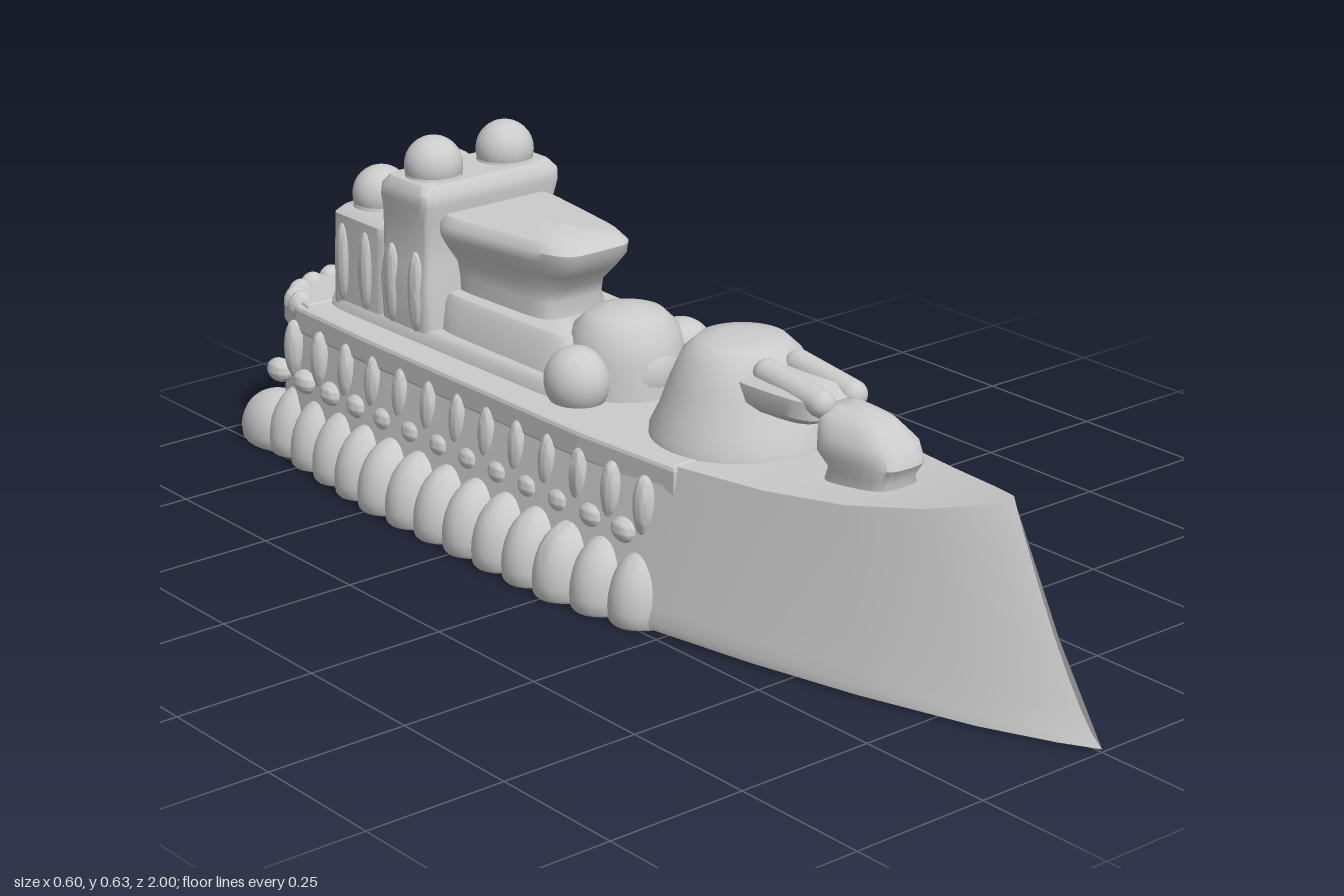
import * as THREE from 'three';
import { toCreasedNormals, mergeVertices } from 'three/addons/utils/BufferGeometryUtils.js';

const material = new THREE.MeshStandardMaterial({ color: 0xcccccc });

// Skin a list of closed cross-sections and close both ends with fans.
function loft(rings, crease = 0.6) {
  const n = rings[0].length, pos = rings.flat(2), idx = [];
  for (let i = 0; i < rings.length - 1; i++)
    for (let j = 0; j < n; j++) {
      const k = (j + 1) % n, a = i * n + j, b = i * n + k, c = b + n, d = a + n;
      idx.push(a, b, c, a, c, d);
    }
  [rings[0], rings[rings.length - 1]].forEach((ring, end) => {
    const center = pos.length / 3, base = end * (rings.length - 1) * n;
    for (let k = 0; k < 3; k++) pos.push(ring.reduce((s, p) => s + p[k], 0) / n);
    for (let j = 0; j < n; j++) {
      const a = base + j, b = base + (j + 1) % n;
      if (end) idx.push(center, a, b); else idx.push(center, b, a);
    }
  });
  const g = new THREE.BufferGeometry();
  g.setAttribute('position', new THREE.Float32BufferAttribute(pos, 3));
  g.setIndex(idx);
  return toCreasedNormals(g, crease);
}

// Rounded tapering block; rows are [y, back half width, front half width, back z, front z].
function block(rows, power = 0.3, n = 40) {
  const soft = v => Math.sign(v) * Math.abs(v) ** power;
  return loft(rows.map(([y, wb, wf, zb, zf]) => Array.from({ length: n }, (_, i) => {
    const a = i / n * Math.PI * 2, c = soft(Math.cos(a)), s = -soft(Math.sin(a));
    const t = (s + 1) / 2;
    return [c * (wb + (wf - wb) * t), y, zb + (zf - zb) * t];
  })), 0.8);
}

// Ellipsoid whose underside is flattened at the given floor.
function blob(x, y, z, rx, ry, rz, floor = 0.005) {
  const g = new THREE.SphereGeometry(1, 24, 16).scale(rx, ry, rz).translate(x, y, z);
  const p = g.attributes.position;
  for (let i = 0; i < p.count; i++) p.setY(i, Math.max(p.getY(i), floor));
  g.deleteAttribute('uv');
  g.deleteAttribute('normal');
  return toCreasedNormals(mergeVertices(g), 0.9);
}

function lathe(points, z) {
  return new THREE.LatheGeometry(points.map(p => new THREE.Vector2(...p)), 40).translate(0, 0, z);
}

// Hull stations: [deck z, deck half width, deck y, keel z, keel half width]
const STATIONS = [
  [0.80, 0, 0.35, 1.00, 0], [0.77, 0.028, 0.343, 0.94, 0.035], [0.68, 0.075, 0.32, 0.82, 0.09],
  [0.55, 0.12, 0.298, 0.62, 0.155], [0.40, 0.155, 0.285, 0.42, 0.205], [0.20, 0.19, 0.28, 0.20, 0.247],
  [0, 0.2, 0.28, 0, 0.256], [-0.5, 0.2, 0.28, -0.5, 0.256], [-0.8, 0.195, 0.28, -0.8, 0.235],
  [-0.88, 0.18, 0.28, -0.87, 0.21], [-0.93, 0.11, 0.28, -0.91, 0.13], [-0.94, 0, 0.28, -0.92, 0],
];

function hullGeometry() {
  const levels = [1, 0.85, 0.65, 0.45, 0.28, 0.14, 0.05, 0];
  return loft(STATIONS.map(([zt, wt, yt, zb, wb]) => {
    const side = levels.map(v => {
      const t = v ** 0.75, tuck = v === 0 ? 0.98 : 1;
      return [(wb + (wt - wb) * v) * tuck, 0.01 + (yt - 0.01) * v, zb + (zt - zb) * t];
    });
    const mirrored = side.map(([x, y, z]) => [-x, y, z]).reverse();
    return [[0, yt, zt], ...side, [0, 0.01, zb], ...mirrored];
  }));
}

// Horizontal slab following the deck plan between two z limits.
function deckSlab(points, y, height) {
  const shape = new THREE.Shape();
  points.forEach(([x, z], i) => (i ? shape.lineTo(x, -z) : shape.moveTo(x, -z)));
  [...points].reverse().forEach(([x, z]) => shape.lineTo(-x, -z));
  return new THREE.ExtrudeGeometry(shape, {
    depth: height, bevelEnabled: true, bevelSize: 0.008, bevelThickness: 0.008, bevelSegments: 2,
  }).rotateX(-Math.PI / 2).translate(0, y, 0);
}

export function createModel() {
  const model = new THREE.Group();
  const group = name => {
    const g = new THREE.Group();
    g.name = name;
    model.add(g);
    return g;
  };
  const add = (name, geometry, parent = model) => {
    const mesh = new THREE.Mesh(geometry, material);
    mesh.name = name;
    parent.add(mesh);
    return mesh;
  };

  // Hull, side gallery and stern platform
  add('hull', hullGeometry());
  add('sideGallery', deckSlab([[0.188, 0.22], [0.203, 0], [0.203, -0.6], [0.197, -0.82], [0.18, -0.88]], 0.238, 0.036));
  const stern = group('stern');
  add('sternPlatform', deckSlab([[0.19, -0.8], [0.175, -0.88], [0.13, -0.915], [0.06, -0.935]], 0.25, 0.03), stern);
  for (let i = 0; i < 11; i++) {
    const a = (i / 10 - 0.5) * Math.PI;
    add('sternScallop', blob(Math.sin(a) * 0.18, 0.272, -0.84 - Math.cos(a) * 0.09, 0.025, 0.03, 0.022), stern);
  }
  add('sternRib', new THREE.CylinderGeometry(0.015, 0.02, 0.25, 12).translate(0, 0.135, -0.925), stern);

  // Rippled bulges, gallery brackets and trailing fins, mirrored to both sides
  for (const s of [1, -1]) {
    const flank = group(s > 0 ? 'leftFlank' : 'rightFlank');
    for (let i = 0; i < 13; i++) {
      const z = 0.17 - i * 0.083;
      const half = 0.3 - Math.max(0, z) * 0.16 - Math.max(0, -0.5 - z) * 0.12;
      add('bulge', blob(s * (half - 0.075), 0.03, z, 0.075, 0.1, 0.06), flank);
      add('bracket', blob(s * 0.208, 0.2, z, 0.018, 0.055, 0.022), flank);
      add('port', blob(s * 0.215, 0.15, z - 0.04, 0.02, 0.022, 0.03), flank);
    }
    add('fin', blob(s * 0.2, 0.025, -0.89, 0.065, 0.075, 0.09), flank);
    add('finTip', blob(s * 0.19, 0.022, -0.945, 0.042, 0.04, 0.055), flank);
  }

  // Front turret with a neck, twin barrels and the muzzle mount
  const turret = group('frontTurret');
  add('turretDome', lathe([[0.155, 0.27], [0.153, 0.295], [0.138, 0.325], [0.12, 0.375], [0.1, 0.42],
    [0.075, 0.444], [0.04, 0.45], [0, 0.451]], 0.17), turret);
  add('gunNeck', block([[0.36, 0.065, 0.05, 0.2, 0.38], [0.375, 0.08, 0.062, 0.2, 0.41],
    [0.405, 0.08, 0.062, 0.2, 0.41], [0.42, 0.055, 0.045, 0.2, 0.38]], 0.5), turret);
  for (const s of [1, -1])
    add('barrel', new THREE.CapsuleGeometry(0.024, 0.13, 6, 16).rotateX(Math.PI / 2 + 0.12)
      .translate(s * 0.034, 0.41, 0.335), turret);
  add('gunMount', block([[0.275, 0.065, 0.05, 0.41, 0.56], [0.31, 0.06, 0.045, 0.42, 0.555],
    [0.335, 0.072, 0.055, 0.4, 0.57], [0.365, 0.07, 0.05, 0.4, 0.56], [0.392, 0.05, 0.035, 0.39, 0.52],
    [0.402, 0.03, 0.02, 0.4, 0.48]], 0.6), turret);

  // Middle house with a domed second turret
  const house = group('middleHouse');
  add('lowerHouse', block([[0.27, 0.16, 0.15, -0.82, -0.08], [0.3, 0.155, 0.145, -0.81, -0.09],
    [0.308, 0.145, 0.135, -0.8, -0.1]], 0.2), house);
  add('upperHouse', block([[0.29, 0.13, 0.13, -0.52, -0.13], [0.36, 0.12, 0.11, -0.52, -0.15],
    [0.372, 0.11, 0.1, -0.52, -0.16]]), house);
  add('secondDome', lathe([[0.105, 0.27], [0.1, 0.34], [0.09, 0.385], [0.065, 0.41], [0.03, 0.42], [0, 0.421]], -0.13), house);
  add('domeNose', blob(0, 0.32, -0.07, 0.06, 0.06, 0.045), house);
  for (const s of [1, -1]) add('sideLobe', blob(s * 0.115, 0.315, -0.12, 0.055, 0.06, 0.06), house);

  // Bridge flaring from a narrow stem to a broad roof
  add('bridge', block([[0.35, 0.085, 0.075, -0.52, -0.25], [0.4, 0.085, 0.07, -0.52, -0.26],
    [0.425, 0.09, 0.065, -0.52, -0.25], [0.455, 0.115, 0.072, -0.52, -0.22], [0.48, 0.132, 0.08, -0.52, -0.2],
    [0.5, 0.132, 0.08, -0.52, -0.195], [0.514, 0.118, 0.07, -0.52, -0.21]], 0.35));

  // Stepped aft tower with four domed funnels
  const tower = group('aftTower');
  add('tallBlock', block([[0.28, 0.15, 0.15, -0.64, -0.49], [0.38, 0.155, 0.152, -0.64, -0.49],
    [0.42, 0.146, 0.146, -0.64, -0.495], [0.5, 0.145, 0.145, -0.64, -0.497], [0.53, 0.15, 0.15, -0.64, -0.49],
    [0.55, 0.15, 0.15, -0.635, -0.492], [0.565, 0.138, 0.138, -0.625, -0.505]], 0.2), tower);
  add('lowBlock', block([[0.28, 0.152, 0.152, -0.79, -0.62], [0.37, 0.15, 0.15, -0.79, -0.62],
    [0.44, 0.148, 0.148, -0.788, -0.62], [0.46, 0.148, 0.148, -0.786, -0.62], [0.472, 0.135, 0.135, -0.775, -0.62]], 0.2), tower);
  for (const s of [1, -1])
    for (const [z, base, top] of [[-0.565, 0.545, 0.635], [-0.725, 0.45, 0.545]]) {
      add('funnelNeck', new THREE.CylinderGeometry(0.046, 0.056, top - 0.05 - base, 24)
        .translate(s * 0.078, (base + top - 0.05) / 2, z), tower);
      add('funnelDome', new THREE.SphereGeometry(0.052, 24, 16).translate(s * 0.078, top - 0.052, z), tower);
    }
  // Vertical ribs on the tower sides
  for (const s of [1, -1])
    for (const z of [-0.53, -0.6, -0.68, -0.75])
      add('towerRib', blob(s * 0.147, 0.37, z, 0.013, 0.075, 0.02), tower);

  return model;
}
